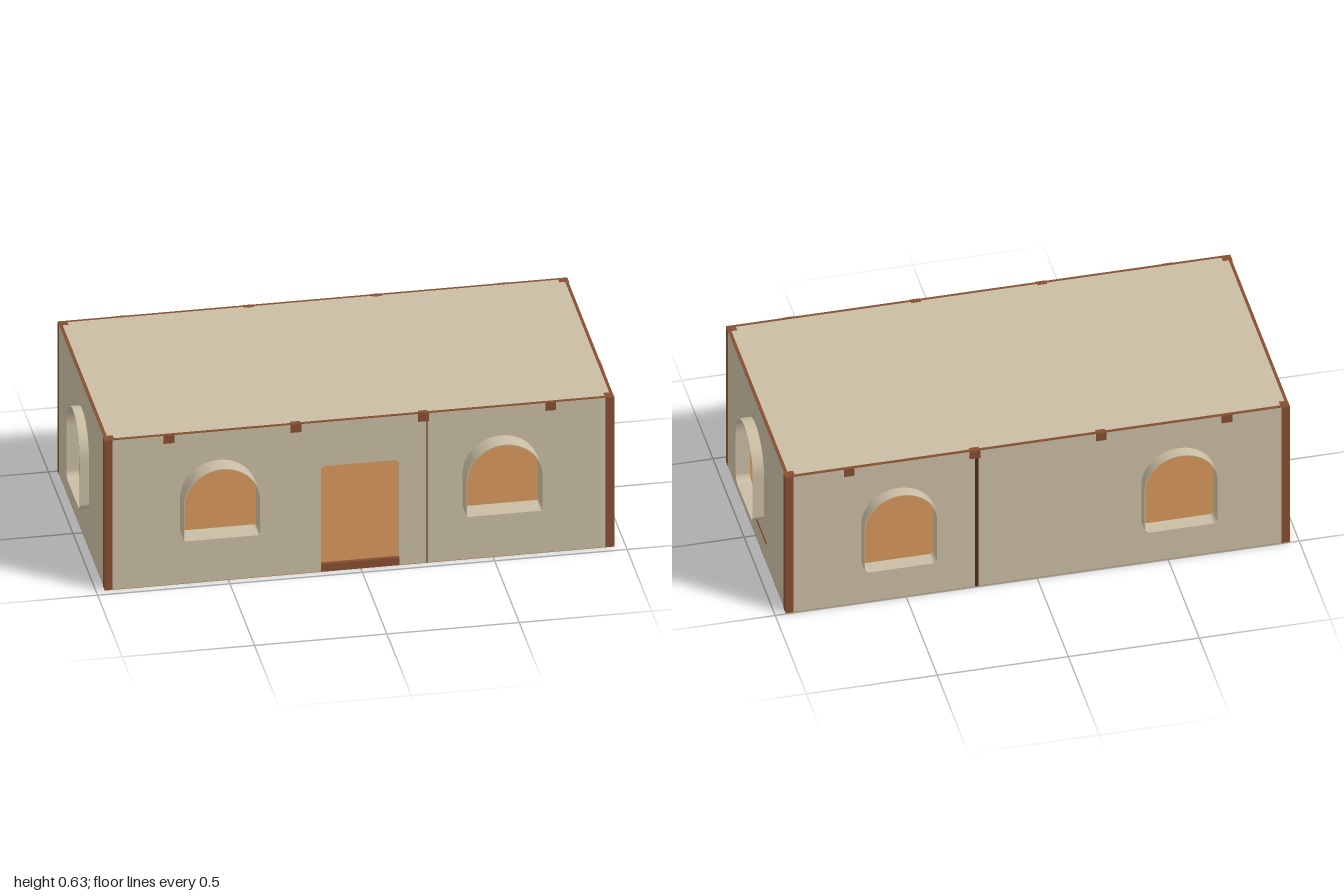
import * as THREE from 'three';

const mat = (name, color) => new THREE.MeshStandardMaterial({ name, color });

export function createModel() {
  const model = new THREE.Group();
  model.name = 'cabin';
  const plaster = mat('beige plaster', 0xc9bda3);
  const timber = mat('brown timber', 0x864e30);
  const boards = mat('orange floorboards', 0xb27d4a);
  const green = mat('sage green', 0x9bae98);
  const dark = mat('dark shelf wood', 0x4a2c1c);

  const X0 = -0.965, X1 = 0.957, Z0 = -0.497, Z1 = 0.469, H = 0.628, T = 0.012;
  const cx = (X0 + X1) / 2, cz = (Z0 + Z1) / 2;

  // Box given by its minimum and maximum corners
  function box(name, material, x0, x1, y0, y1, z0, z1, parent = model) {
    const m = new THREE.Mesh(new THREE.BoxGeometry(x1 - x0, y1 - y0, z1 - z0), material);
    m.name = name;
    m.position.set((x0 + x1) / 2, (y0 + y1) / 2, (z0 + z1) / 2);
    parent.add(m);
    return m;
  }

  // Arched opening with rounded lower corners; grow offsets the outline outwards
  function arch(path, { c, w, y0, y1, r }, grow = 0) {
    const h = w / 2 + grow, b = y0 - grow, spring = y1 - w / 2, q = r + grow;
    path.moveTo(c - h + q, b);
    path.lineTo(c + h - q, b);
    path.absarc(c + h - q, b + q, q, -Math.PI / 2, 0, false);
    path.lineTo(c + h, spring);
    path.absarc(c, spring, h, 0, Math.PI, false);
    path.lineTo(c - h, b + q);
    path.absarc(c - h + q, b + q, q, Math.PI, Math.PI * 1.5, false);
    return path;
  }

  function extrude(name, shape, depth, z, parent) {
    const g = new THREE.ExtrudeGeometry(shape, { depth, bevelEnabled: false, curveSegments: 20 });
    const m = new THREE.Mesh(g, plaster);
    m.name = name;
    m.position.z = z;
    parent.add(m);
  }

  // Wall panel facing local +z, with arched openings and projecting reveals
  function wall(name, x, z, turn, width, windows, reveal, door) {
    const g = new THREE.Group();
    g.name = name;
    g.position.set(x, 0, z);
    g.rotation.y = turn;
    const s = new THREE.Shape(), b = 0.002, h = width / 2;
    s.moveTo(-h, b);
    if (door) {
      const { l, r, top, q } = door;
      s.lineTo(l, b);
      s.lineTo(l, top - q);
      s.quadraticCurveTo(l, top, l + q, top);
      s.lineTo(r - q, top);
      s.quadraticCurveTo(r, top, r, top - q);
      s.lineTo(r, b);
    }
    s.lineTo(h, b);
    s.lineTo(h, H);
    s.lineTo(-h, H);
    s.closePath();
    for (const w of windows) {
      s.holes.push(arch(new THREE.Path(), w));
      const ring = arch(new THREE.Shape(), w, 0.003);
      ring.holes.push(arch(new THREE.Path(), w));
      extrude('windowReveal', ring, reveal + T, -T, g);
    }
    extrude('wallPanel', s, T, -T, g);
    // Corner post strip at the wall's local right end
    box('cornerPost', timber, h - 0.032, h + 0.001, 0.002, H, -T - 0.015, 0.003, g);
    model.add(g);
  }

  const front = c => ({ c: c - cx, w: 0.285, y0: 0.218, y1: 0.505, r: 0.008 });
  const back = c => ({ c: cx - c, w: 0.275, y0: 0.172, y1: 0.505, r: 0.02 });
  const side = { c: 0, w: 0.27, y0: 0.166, y1: 0.515, r: 0.028 };
  const W = X1 - X0, D = Z1 - Z0;
  wall('frontWall', cx, Z1, 0, W, [front(-0.537), front(0.53)], 0.076,
    { l: -0.15 - cx, r: 0.145 - cx, top: 0.443, q: 0.02 });
  wall('backWall', cx, Z0, Math.PI, W, [back(-0.54), back(0.53)], 0.048);
  wall('leftWall', X1, cz, Math.PI / 2, D, [{ ...side, c: cz }], 1 - X1);
  wall('rightWall', X0, cz, -Math.PI / 2, D, [{ ...side, c: -cz }], 1 + X0);

  // Floor, threshold and roof
  box('floorBase', boards, X0, X1, 0, 0.002, Z0, Z1);
  box('floor', boards, X0 + T, X1 - T, 0.002, 0.03, Z0 + T, Z1 - T);
  box('threshold', timber, -0.15, 0.145, 0.002, 0.034, Z1 - T, Z1 + 0.003);
  box('roof', plaster, X0 + T, X1 - T, 0.616, 0.63, Z0 + T, Z1 - T);

  // Timber edging round the roof
  box('roofEdge', timber, X0, X1, H, 0.63, Z1 - T, Z1);
  box('roofEdge', timber, X0, X1, H, 0.63, Z0, Z0 + T);
  box('roofEdge', timber, X0, X0 + T, H, 0.63, Z0 + T, Z1 - T);
  box('roofEdge', timber, X1 - T, X1, H, 0.63, Z0 + T, Z1 - T);
  for (const x of [X0 + 0.022, X1 - 0.022])
    for (const z of [Z0 + 0.022, Z1 - 0.022])
      box('postTop', timber, x - 0.012, x + 0.012, 0.62, 0.631, z - 0.012, z + 0.012);

  // Ceiling beams whose ends show on the front and back
  for (const x of [-0.725, -0.245, 0.237, 0.717]) {
    box('ceilingBeam', timber, x - 0.02, x + 0.02, 0.596, 0.6295, Z0 - 0.003, Z1 + 0.003);
  }
  for (const x of [-0.245, 0.237])
    for (const z of [Z0 + 0.01, Z1 - 0.01])
      box('beamCap', timber, x - 0.018, x + 0.018, 0.625, 0.631, z - 0.01, z + 0.01);

  // Inner wall plates
  const i = T + 0.025;
  box('wallPlate', timber, X0 + T, X1 - T, 0.545, 0.596, Z0 + T, Z0 + i);
  box('wallPlate', timber, X0 + T, X1 - T, 0.545, 0.596, Z1 - i, Z1 - T);
  box('wallPlate', timber, X0 + T, X0 + i, 0.545, 0.596, Z0 + i, Z1 - i);
  box('wallPlate', timber, X1 - i, X1 - T, 0.545, 0.596, Z0 + i, Z1 - i);

  // Knee braces at the corners and beside the middle beam
  for (const z of [Z0 + 0.024, Z1 - 0.024])
    for (const [x, dir] of [[X0 + 0.06, 1], [X1 - 0.06, -1], [-0.29, -1]]) {
      const b = box('kneeBrace', timber, x - 0.06, x + 0.06, 0.49, 0.508, z - 0.01, z + 0.01);
      b.rotation.z = dir * Math.PI / 4;
    }

  // Panel joints
  box('backJoint', dark, 0.224, 0.236, 0.002, 0.6, Z0 - 0.002, Z0);
  box('frontJoint', dark, 0.249, 0.252, 0.002, 0.6, Z1, Z1 + 0.001);

  // Splashback and bracketed shelves inside the back wall
  const zi = Z0 + T;
  box('splashback', green, -0.2, 0.2, 0.215, 0.5, zi, zi + 0.006);
  for (const [y, half, bx] of [[0.355, 0.17, 0.085], [0.215, 0.19, 0.115]]) {
    box('shelf', dark, -half, half, y - 0.005, y + 0.005, zi, zi + 0.1);
    for (const x of [-bx, bx]) {
      box('shelfBracket', dark, x - 0.004, x + 0.004, y - 0.04, y - 0.005, zi, zi + 0.012);
      box('shelfBracket', dark, x - 0.006, x + 0.006, y - 0.016, y - 0.005, zi, zi + 0.08);
    }
  }

  // Bench under the left side window, its top showing through the wall
  box('benchTop', timber, 0.78, X1 + 0.003, 0.09, 0.099, -0.177, 0.187);
  box('benchFront', green, 0.8, 0.81, 0.03, 0.09, -0.165, 0.175);

  return model;
}
